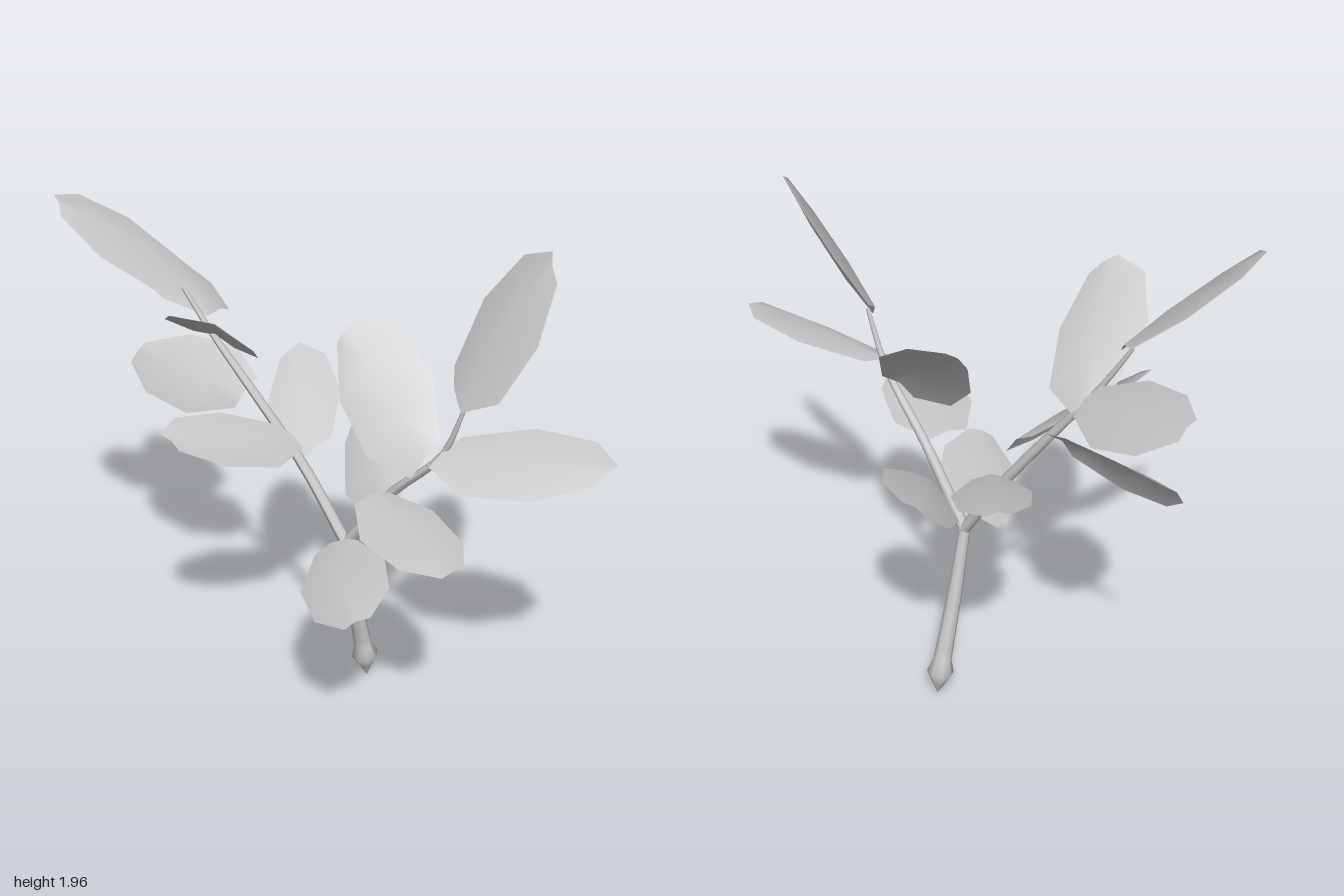
import * as THREE from 'three';

const V = (a) => new THREE.Vector3(...a);
const material = new THREE.MeshStandardMaterial({ color: 0xcccccc, side: THREE.DoubleSide });

// Linear lookup in a list of [position, value] pairs
function lookup(pairs, t) {
  for (let i = 1; i < pairs.length; i++) {
    const [a, va] = pairs[i - 1], [b, vb] = pairs[i];
    if (t <= b + 1e-6) return va + (vb - va) * (t - a) / (b - a);
  }
  return pairs[pairs.length - 1][1];
}

// Tube along a curve whose radius follows a profile
function taperedTube(name, points, profile, segments, sides = 8) {
  const curve = new THREE.CatmullRomCurve3(points.map(V));
  const geo = new THREE.TubeGeometry(curve, segments, 1, sides, false);
  const pos = geo.attributes.position, p = new THREE.Vector3();
  for (let i = 0; i < pos.count; i++) {
    const t = Math.floor(i / (sides + 1)) / segments;
    const c = curve.getPointAt(t);
    p.fromBufferAttribute(pos, i).sub(c).multiplyScalar(lookup(profile, t)).add(c);
    pos.setXYZ(i, p.x, p.y, p.z);
  }
  geo.computeVertexNormals();
  const mesh = new THREE.Mesh(geo, material);
  mesh.name = name;
  return mesh;
}

// Leaf outline: distance from base to tip, relative half width
const OUTLINE = [[0, 0.45], [0.33, 1], [0.74, 0.87], [1, 0.3]];

// Leaf blade from base to tip; side is the half-width vector at its widest
function leafBlade(base, tip, side) {
  const b = V(base), t = V(tip), w = V(side);
  const normal = t.clone().sub(b).cross(w).normalize();
  if (normal.y < 0) normal.negate();
  const verts = [], index = [];
  OUTLINE.forEach(([s, width], row) => {
    for (let col = -1; col <= 1; col++) {
      const p = b.clone().lerp(t, s).addScaledVector(w, col * width);
      // arched: midrib high, edges drooping
      p.addScaledVector(normal, (col === 0 ? 0.018 : -0.02) * width);
      verts.push(p.x, p.y, p.z);
    }
    if (row === 0) return;
    for (let c = 0; c < 2; c++) {
      const a = (row - 1) * 3 + c, d = row * 3 + c;
      index.push(a, a + 1, d, a + 1, d + 1, d);
    }
  });
  const geo = new THREE.BufferGeometry();
  geo.setAttribute('position', new THREE.Float32BufferAttribute(verts, 3));
  geo.setIndex(index);
  geo.computeVertexNormals();
  const mesh = new THREE.Mesh(geo, material);
  mesh.name = 'leaf';
  return mesh;
}

export function createModel() {
  const group = new THREE.Group();
  group.name = 'leafyTwig';

  // Main stem with the pointed swelling at its foot
  group.add(taperedTube('stem',
    [[0.02, 0, -0.185], [0.015, 0.1, -0.175], [0.012, 0.4, -0.1], [0.015, 0.7, -0.03]],
    [[0, 0], [1 / 7, 0.05], [3 / 14, 0.034], [1, 0.02]], 14));

  // Two forking branches
  group.add(taperedTube('rightBranch',
    [[0.02, 0.67, -0.035], [-0.16, 0.96, -0.025], [-0.34, 1.22, 0.01], [-0.49, 1.43, 0.04], [-0.6, 1.62, 0.07]],
    [[0, 0.022], [0.6, 0.016], [1, 0.007]], 12));
  group.add(taperedTube('leftBranch',
    [[0.01, 0.67, -0.035], [0.2, 0.95, -0.025], [0.41, 1.18, 0], [0.49, 1.39, 0]],
    [[0, 0.022], [0.6, 0.015], [1, 0.007]], 12));

  // Leaves: base, tip, half-width vector
  const leaves = [
    // on the right branch, top to bottom
    [[-0.59, 1.635, 0.04], [-0.86, 1.94, 0.36], [0.1, -0.08, 0.075]],
    [[-0.52, 1.46, -0.06], [-0.98, 1.6, -0.17], [0.01, 0.04, 0.165]],
    [[-0.48, 1.405, 0.03], [-0.235, 1.665, 0.39], [0.1, -0.105, -0.13]],
    [[-0.38, 1.2, 0], [-0.86, 1.225, -0.02], [-0.06, -0.115, 0.08]],
    [[-0.17, 1.1, 0.03], [-0.36, 1.24, 0.48], [0.1, -0.095, -0.03]],
    [[-0.14, 1.0, -0.08], [-0.45, 1.17, -0.41], [0.045, 0.055, -0.16]],
    // on the left branch, top to bottom
    [[0.435, 1.425, -0.03], [0.705, 1.88, -0.15], [0.09, -0.12, 0.115]],
    [[0.42, 1.2, 0], [0.98, 1.25, -0.05], [-0.06, -0.07, 0.155]],
    [[0.34, 1.14, -0.01], [-0.055, 1.465, -0.15], [0.06, 0.13, -0.115]],
    [[0.17, 0.975, 0.06], [0.635, 0.975, 0.335], [0.06, 0, -0.145]],
    [[0.14, 0.85, -0.08], [-0.13, 1.06, -0.45], [0.11, 0.1, -0.07]],
    // at the fork
    [[-0.01, 0.695, 0.02], [0.33, 0.725, 0.43], [0.11, 0.06, -0.1]],
  ];
  const foliage = new THREE.Group();
  foliage.name = 'foliage';
  for (const [base, tip, side] of leaves) foliage.add(leafBlade(base, tip, side));
  group.add(foliage);
  return group;
}
